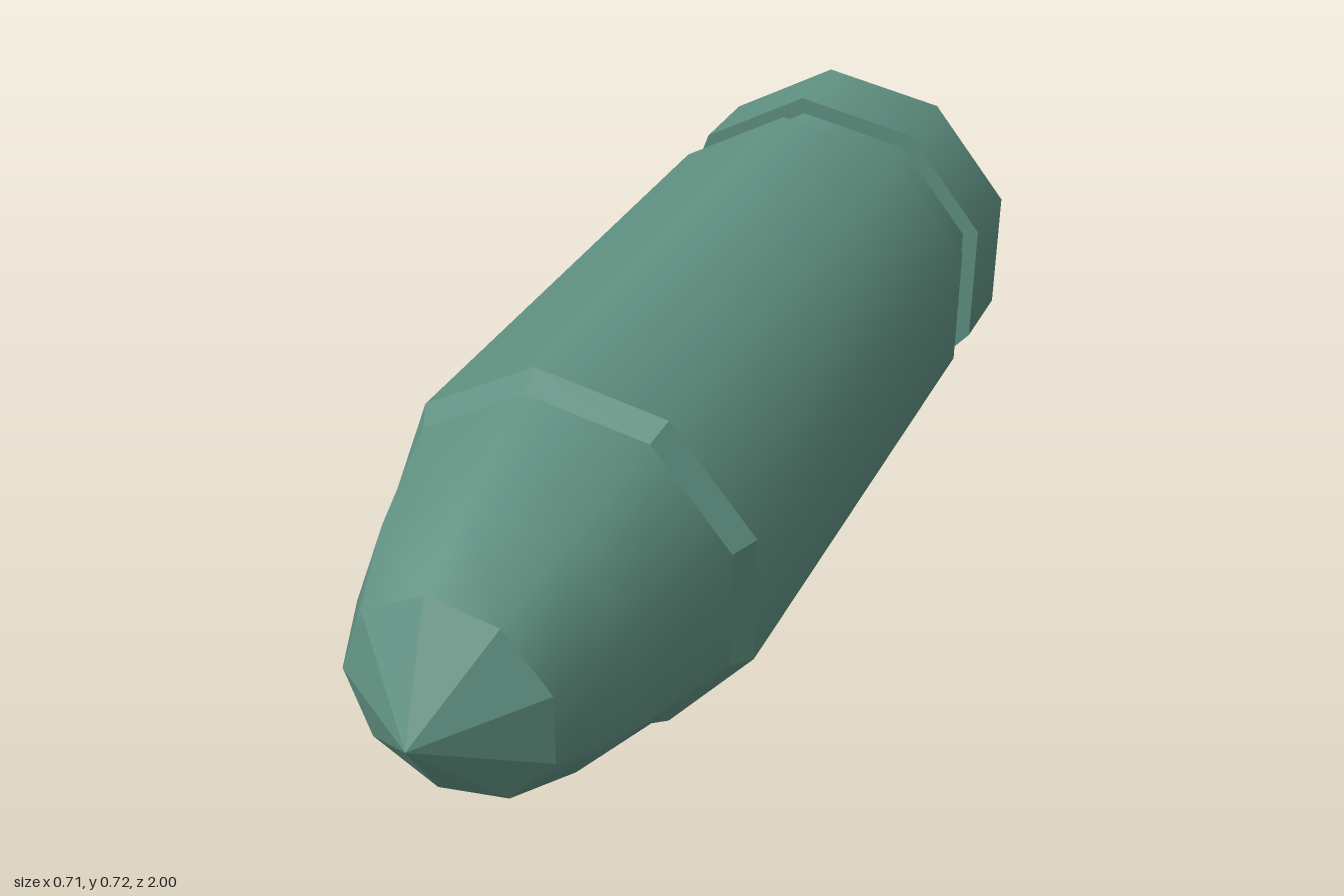
import * as THREE from 'three';

const SIDES = 9;
const R = 0.364; // corner radius of the case
const GROOVE = 0.33;

// Lathe section about the long axis; points are [radius, z], from back to front.
function section(name, points, material, flat = false) {
  let geometry = new THREE.LatheGeometry(
    points.map(([r, z]) => new THREE.Vector2(r, z)), SIDES, -Math.PI / 2);
  if (flat) {
    geometry = geometry.toNonIndexed();
    geometry.computeVertexNormals();
  }
  geometry.rotateX(Math.PI / 2);
  const mesh = new THREE.Mesh(geometry, material);
  mesh.name = name;
  return mesh;
}

export function createModel() {
  const model = new THREE.Group();
  model.name = 'cartridge';
  const green = new THREE.MeshStandardMaterial({ color: 0x5f9081 });

  // The nine-sided outline is off-centre by half the gap between corner and flat.
  const body = new THREE.Group();
  body.name = 'body';
  body.position.set(0.011, 0.359, 0);
  model.add(body);

  // Smooth sides with flat faces and bevels between them
  body.add(
    section('base', [[0, -1], [R, -1]], green, true),
    section('rim', [[R, -1], [R, -0.825]], green),
    section('rimShoulder', [[R, -0.825], [GROOVE, -0.825]], green, true),
    section('groove', [[GROOVE, -0.825], [GROOVE, -0.75]], green),
    section('grooveBevel', [[GROOVE, -0.75], [R, -0.715]], green, true),
    section('case', [[R, -0.715], [R, 0.42]], green),
    section('mouthBevel', [[R, 0.42], [0.337, 0.465]], green, true),
    section('bullet', [[0.337, 0.465], [0.27, 0.695], [0.197, 0.86]], green),
    section('tip', [[0.197, 0.86], [0, 1]], green, true),
  );
  return model;
}
